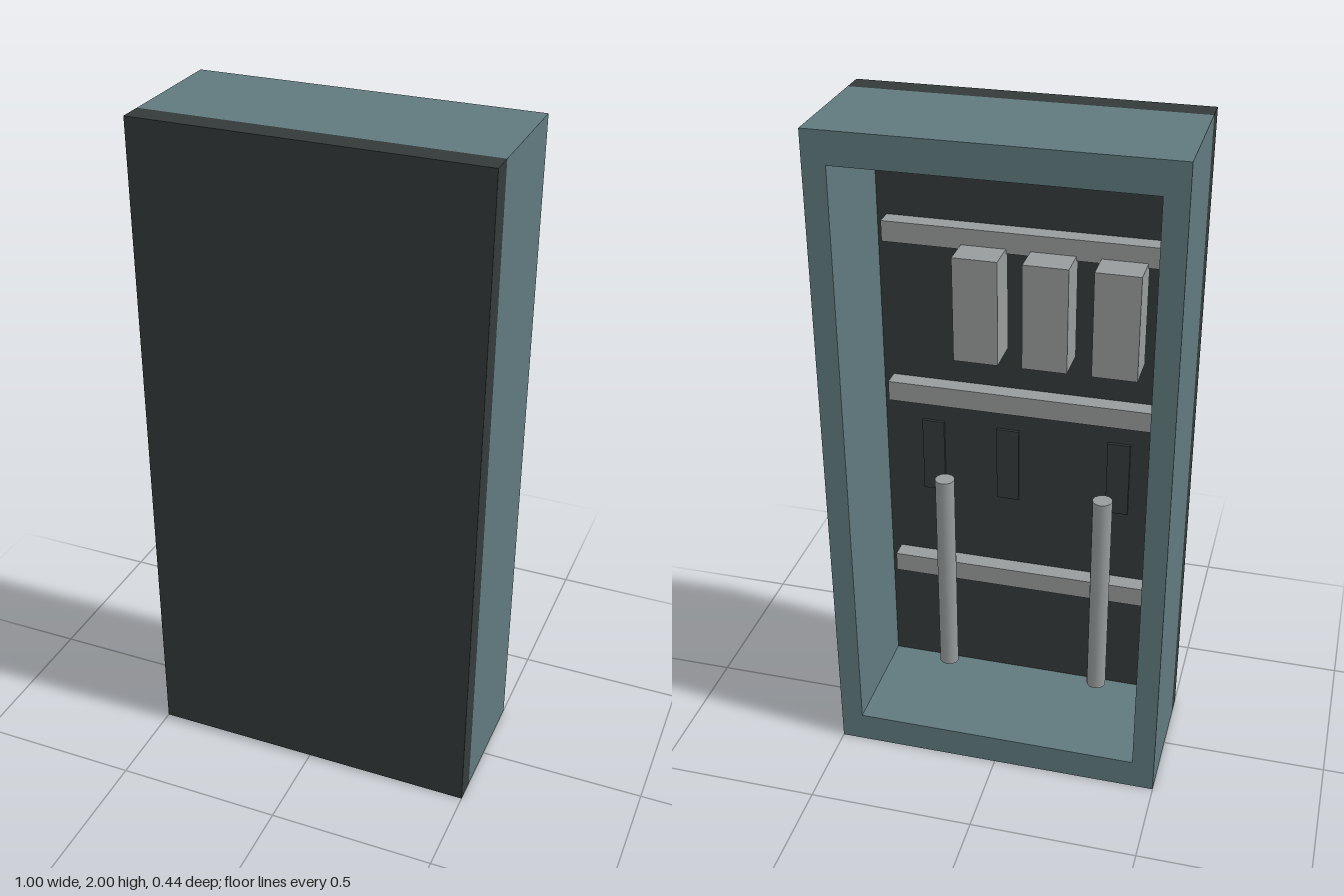
import * as THREE from 'three';

const material = (name, color) => {
  const m = new THREE.MeshStandardMaterial({ color });
  m.name = name;
  return m;
};

export function createModel() {
  const model = new THREE.Group();
  const teal = material('teal casing', 0x607a7e);
  const dark = material('dark panel', 0x343a3a);
  const grey = material('grey metal', 0x989c9c);

  const add = (name, geometry, mat, x, y, z) => {
    const mesh = new THREE.Mesh(geometry, mat);
    mesh.name = name;
    mesh.position.set(x, y, z);
    model.add(mesh);
  };
  const box = (name, w, h, d, mat, x, y, z) =>
    add(name, new THREE.BoxGeometry(w, h, d), mat, x, y, z);

  const back = -0.2175, front = 0.2175, inner = 0.147;

  // Casing: a rectangular frame, open at the back
  const outline = new THREE.Shape([
    new THREE.Vector2(-0.5, 0), new THREE.Vector2(0.5, 0),
    new THREE.Vector2(0.5, 2), new THREE.Vector2(-0.5, 2),
  ]);
  outline.holes.push(new THREE.Path([
    new THREE.Vector2(-0.433, 0.093), new THREE.Vector2(-0.433, 1.907),
    new THREE.Vector2(0.433, 1.907), new THREE.Vector2(0.433, 0.093),
  ]));
  const casing = new THREE.ExtrudeGeometry(outline, { depth: inner - back, bevelEnabled: false });
  add('casing', casing, teal, 0, 0, back);

  // Solid panel closing the front
  box('frontPanel', 1, 2, front - inner, dark, 0, 1, (front + inner) / 2);

  // Cross rails mounted on the panel
  for (const y of [1.61, 1.1, 0.48]) box('rail', 0.81, 0.062, 0.053, grey, 0, y, inner - 0.0265);

  // Upper row of component boxes
  for (const x of [0.107, -0.093, -0.293]) box('componentBox', 0.13, 0.315, 0.114, grey, x, 1.435, 0.057);

  // Thin dark plates on the panel
  for (const x of [0.283, 0.05, -0.29]) box('plate', 0.068, 0.24, 0.009, dark, x, 0.868, inner - 0.0045);

  // Upright pipes
  for (const x of [0.22, -0.265]) {
    const pipe = new THREE.CylinderGeometry(0.03, 0.03, 0.685, 12);
    add('pipe', pipe, grey, x, 0.508, 0.04);
  }

  return model;
}
